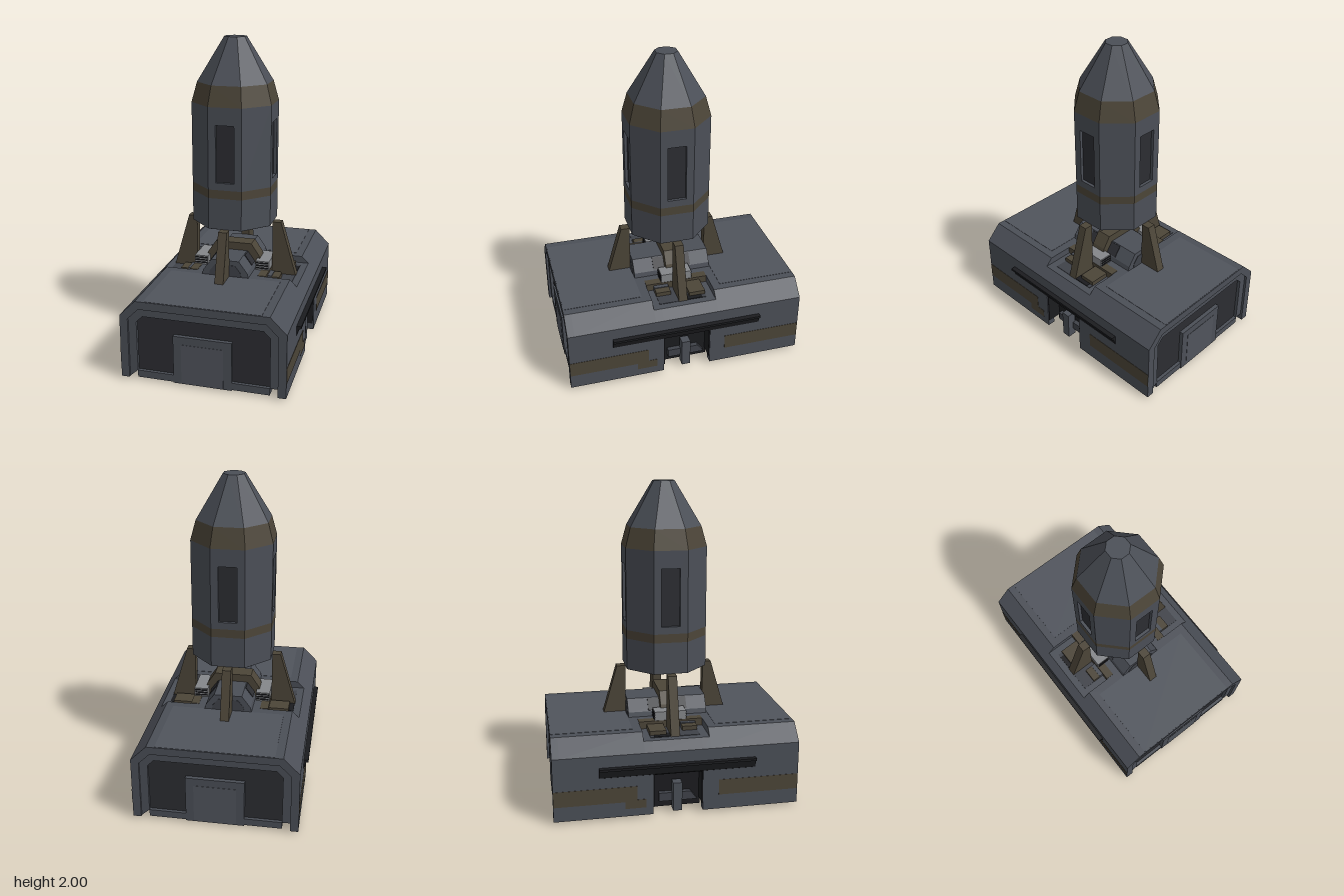
import * as THREE from 'three';

const mat = (color, side = THREE.FrontSide) => new THREE.MeshStandardMaterial({ color, flatShading: true, side });
const GREY = mat(0x4b4f57), PALE = mat(0x50545c), MID = mat(0x3f4249), DARK = mat(0x2c2d32);
const BLACK = mat(0x1b1c1f), BROWN = mat(0x4c4538), LIGHT = mat(0x85878a);
const SHELL = mat(0x4b4f57, THREE.DoubleSide), BAND = mat(0x4c4538, THREE.DoubleSide);

function add(parent, name, geo, material) {
  const m = new THREE.Mesh(geo, material);
  m.name = name;
  parent.add(m);
  return m;
}
function group(parent, name) {
  const g = new THREE.Group();
  g.name = name;
  parent.add(g);
  return g;
}
// Box given by its limits on each axis
function box(parent, name, material, x0, x1, y0, y1, z0, z1) {
  const m = add(parent, name, new THREE.BoxGeometry(x1 - x0, y1 - y0, z1 - z0), material);
  m.position.set((x0 + x1) / 2, (y0 + y1) / 2, (z0 + z1) / 2);
  return m;
}
const shape = pts => new THREE.Shape(pts.map(p => new THREE.Vector2(p[0], p[1])));
// Profile in x and y, extruded from z0 to z1
function prism(parent, name, material, pts, z0, z1) {
  const geo = new THREE.ExtrudeGeometry(shape(pts), { depth: z1 - z0, bevelEnabled: false });
  geo.translate(0, 0, z0);
  return add(parent, name, geo, material);
}
// Right half of a profile, completed by its mirror image
const sym = pts => [...pts, ...pts.map(([x, y]) => [-x, y]).reverse()];
// Eight-sided turned part; radii are measured to the flats
function octagon(parent, name, material, pts) {
  const k = 1 / Math.cos(Math.PI / 8);
  const geo = new THREE.LatheGeometry(pts.map(([r, y]) => new THREE.Vector2(r * k, y)), 8, Math.PI / 8);
  return add(parent, name, geo, material);
}
function ring(parent, name, material, r0, r1, y0, y1, sides = 24) {
  const pts = [[r0, y0], [r1, y0], [r1, y1], [r0, y1], [r0, y0]].map(p => new THREE.Vector2(...p));
  return add(parent, name, new THREE.LatheGeometry(pts, sides), material);
}

function buildBase(root) {
  const base = group(root, 'base');
  const roof = [[0.51, 0.42], [0.41, 0.52]];
  const well = [[0.51, 0.42], [0.455, 0.475], [0.25, 0.475], [0.25, 0.52]];
  const skirt = [[0.46, 0.06], [0.46, 0.015], [0.51, 0.015]];
  const notch = [[0.41, 0.06], [0.41, 0.34], [0.51, 0.34]];
  // Hull in sections: plain, with side wells, and with side bays
  for (const s of [-1, 1]) {
    const span = (a, b) => s > 0 ? [a, b] : [-b, -a];
    prism(base, 'hull', GREY, sym([...skirt, ...roof]), ...span(0.205, 0.72));
    prism(base, 'hullShoulder', GREY, sym([...skirt, ...well]), ...span(0.155, 0.205));
    box(base, 'roofPanel', PALE, -0.36, 0.36, 0.515, 0.522, ...span(0.26, 0.76));
  }
  prism(base, 'hullMiddle', GREY, sym([...notch, ...well]), -0.155, 0.155);

  // End walls: stepped frame, dark panel and door
  for (const s of [-1, 1]) {
    const end = group(base, s > 0 ? 'frontWall' : 'backWall');
    end.rotation.y = s > 0 ? 0 : Math.PI;
    prism(end, 'outerFrame', GREY, sym([[0.46, 0.015], [0.51, 0.015], ...roof]
      .slice(1).concat([])).slice(0, 3).concat(
      [[-0.41, 0.52], [-0.51, 0.42], [-0.51, 0.015], [-0.46, 0.015], [-0.46, 0.4], [-0.39, 0.47],
        [0.39, 0.47], [0.46, 0.4], [0.46, 0.015]]), 0.72, 0.765);
    prism(end, 'innerFrame', GREY, [[0.46, 0.015], [0.46, 0.4], [0.39, 0.47], [-0.39, 0.47], [-0.46, 0.4],
      [-0.46, 0.015], [0.46, 0.015]].slice(0, 6).concat(
      [[-0.46, 0.06], [-0.41, 0.06], [-0.41, 0.38], [-0.37, 0.42], [0.37, 0.42], [0.41, 0.38], [0.41, 0.06],
        [0.46, 0.06]].slice(1)), 0.72, 0.75);
    box(end, 'sill', GREY, -0.41, 0.41, 0.015, 0.06, 0.68, 0.75);
    prism(end, 'darkPanel', DARK, sym([[0.41, 0.06], [0.41, 0.38], [0.37, 0.42]]), 0.71, 0.73);
    box(end, 'door', GREY, -0.18, 0.18, 0.012, 0.32, 0.7, 0.755);
    box(end, 'doorInset', PALE, -0.13, 0.13, 0.015, 0.27, 0.75, 0.757);
  }

  // Side details, repeated by a half turn
  for (const s of [-1, 1]) {
    const side = group(base, s > 0 ? 'leftSide' : 'rightSide');
    side.rotation.y = s > 0 ? 0 : Math.PI;
    prism(side, 'rail', BLACK, [[0.5, 0.27], [0.512, 0.28], [0.525, 0.325], [0.54, 0.33], [0.54, 0.345], [0.5, 0.345]],
      -0.485, 0.485);
    for (const f of [-1, 1]) {
      const z = f > 0 ? [0.255, 0.764] : [-0.764, -0.255];
      box(side, 'stripe', BROWN, 0.5, 0.512, 0.11, 0.21, ...z);
      box(side, 'bayCheek', BLACK, 0.41, 0.505, 0.06, 0.34, f * 0.153 - 0.004, f * 0.153 + 0.004);
    }
    box(side, 'lowStripe', BROWN, 0.5, 0.512, 0.065, 0.12, 0.2, 0.33);
    box(side, 'bayBack', BLACK, 0.4, 0.414, 0.015, 0.34, -0.155, 0.155);
    box(side, 'bayPost', GREY, 0.43, 0.49, 0.015, 0.2, -0.028, 0.028);
    const brace = prism(side, 'bayBrace', MID, [[-0.11, 0.065], [0.13, 0.065], [0.09, 0.12], [-0.11, 0.12]], 0, 0.03);
    brace.rotation.y = Math.PI / 2;
    brace.position.x = 0.42;
  }

  // Well fittings, mirrored left and right
  for (const s of [-1, 1]) {
    const w = group(base, s > 0 ? 'leftWell' : 'rightWell');
    const b = (name, m, x0, x1, ...rest) => s > 0 ? box(w, name, m, x0, x1, ...rest) : box(w, name, m, -x1, -x0, ...rest);
    b('wellEdge', BROWN, 0.2, 0.253, 0.476, 0.523, -0.203, 0.203);
    b('wellFloor', MID, 0.25, 0.41, 0.47, 0.478, -0.155, 0.155);
    b('wellSlot', BLACK, 0.35, 0.41, 0.47, 0.48, -0.13, -0.02);
    b('largeLatch', BROWN, 0.25, 0.38, 0.478, 0.505, -0.155, -0.05);
    b('smallLatch', BROWN, 0.28, 0.33, 0.478, 0.505, 0.06, 0.155);
    b('latchBlock', GREY, 0.25, 0.28, 0.478, 0.51, 0.06, 0.155);
    b('ventBox', LIGHT, 0.16, 0.25, 0.52, 0.58, -0.1, 0.1);
    for (let i = 0; i < 3; i++) b('ventSlat', BLACK, 0.165, 0.245, 0.53 + i * 0.017, 0.538 + i * 0.017, -0.105, 0.105);
  }
}

function buildLaunchStand(root) {
  const stand = group(root, 'launchStand');
  prism(stand, 'tunnel', GREY, sym([[0.155, 0.51], [0.145, 0.55], [0.09, 0.625]]), -0.255, 0.255);
  prism(stand, 'tunnelMouth', MID, sym([[0.105, 0.52], [0.1, 0.55], [0.065, 0.595]]), -0.258, 0.258);
  prism(stand, 'arch', BROWN, sym([[0.205, 0.51], [0.17, 0.6], [0.12, 0.675]]), -0.05, 0.05);
  for (const s of [-1, 1]) {
    const p = box(stand, 'tunnelSidePanel', DARK, -0.004, 0.004, -0.04, 0.04, -0.125, 0.125);
    p.position.set(s * 0.118, 0.588, 0);
    p.rotation.z = s * Math.atan2(0.055, 0.075);
  }
  // Four supports around the rocket
  for (let i = 0; i < 4; i++) {
    const fin = prism(stand, 'supportFin', BROWN,
      [[0.255, 0.475], [0.413, 0.475], [0.31, 0.83], [0.255, 0.83]], -0.028, 0.028);
    fin.rotation.y = i * Math.PI / 2;
  }
}

function buildRocket(root) {
  const rocket = group(root, 'rocket');
  octagon(rocket, 'lowerBody', SHELL, [[0.215, 0.87], [0.215, 0.83], [0.255, 0.83], [0.255, 1.03]]);
  octagon(rocket, 'tailPlate', SHELL, [[0, 0.87], [0.22, 0.87]]);
  octagon(rocket, 'tailRim', mat(0x2c2d32, THREE.DoubleSide), [[0.216, 0.829], [0.254, 0.829]]);
  octagon(rocket, 'lowerBand', BAND, [[0.255, 1.03], [0.255, 1.085]]);
  octagon(rocket, 'windowBacking', DARK, [[0.236, 1.08], [0.236, 1.6]]);
  octagon(rocket, 'upperBand', BAND, [[0.255, 1.6], [0.222, 1.725]]);
  octagon(rocket, 'noseCone', SHELL, [[0.222, 1.725], [0.065, 2], [0, 2]]);
  // Wall panels, every second one with a sunken window
  const h = 0.255 * Math.tan(Math.PI / 8);
  for (let i = 0; i < 8; i++) {
    const wall = shape([[-h, 1.085], [h, 1.085], [h, 1.6], [-h, 1.6]]);
    if (i % 2 === 0) {
      wall.holes.push(new THREE.Path([[-0.058, 1.13], [-0.058, 1.49], [0.058, 1.49], [0.058, 1.13]]
        .map(p => new THREE.Vector2(...p))));
    }
    const geo = new THREE.ExtrudeGeometry(wall, { depth: 0.025, bevelEnabled: false });
    geo.translate(0, 0, 0.23);
    add(rocket, 'wallPanel', geo, GREY).rotation.y = i * Math.PI / 4;
  }
}

function buildUnderside(root) {
  const under = group(root, 'underside');
  box(under, 'deck', BLACK, -0.4, 0.4, 0.045, 0.07, -0.6, 0.6);
  ring(under, 'outerRing', MID, 0.25, 0.29, 0, 0.05);
  ring(under, 'innerRing', DARK, 0.17, 0.19, 0.02, 0.05);
  box(under, 'hub', MID, -0.05, 0.05, 0.015, 0.05, -0.05, 0.05);
  box(under, 'hubCap', BLACK, -0.025, 0.025, 0.01, 0.02, -0.025, 0.025);
  for (let i = 0; i < 8; i++) {
    const spoke = group(under, 'spoke');
    spoke.rotation.y = (i + 0.5) * Math.PI / 4;
    box(spoke, 'spokeBar', DARK, 0.07, 0.25, 0.03, 0.05, -0.012, 0.012);
  }
  for (const x of [-1, 1]) for (const z of [-1, 1]) {
    const foot = box(under, 'cornerBlock', MID, -0.06, 0.06, 0.02, 0.06, -0.06, 0.06);
    foot.position.set(x * 0.36, 0.04, z * 0.48);
  }
  for (const z of [-0.44, 0.44]) box(under, 'hatch', DARK, -0.16, 0.16, 0.03, 0.05, z - 0.09, z + 0.09);
}

export function createModel() {
  const root = new THREE.Group();
  root.name = 'rocketSilo';
  buildBase(root);
  buildLaunchStand(root);
  buildRocket(root);
  buildUnderside(root);
  return root;
}
